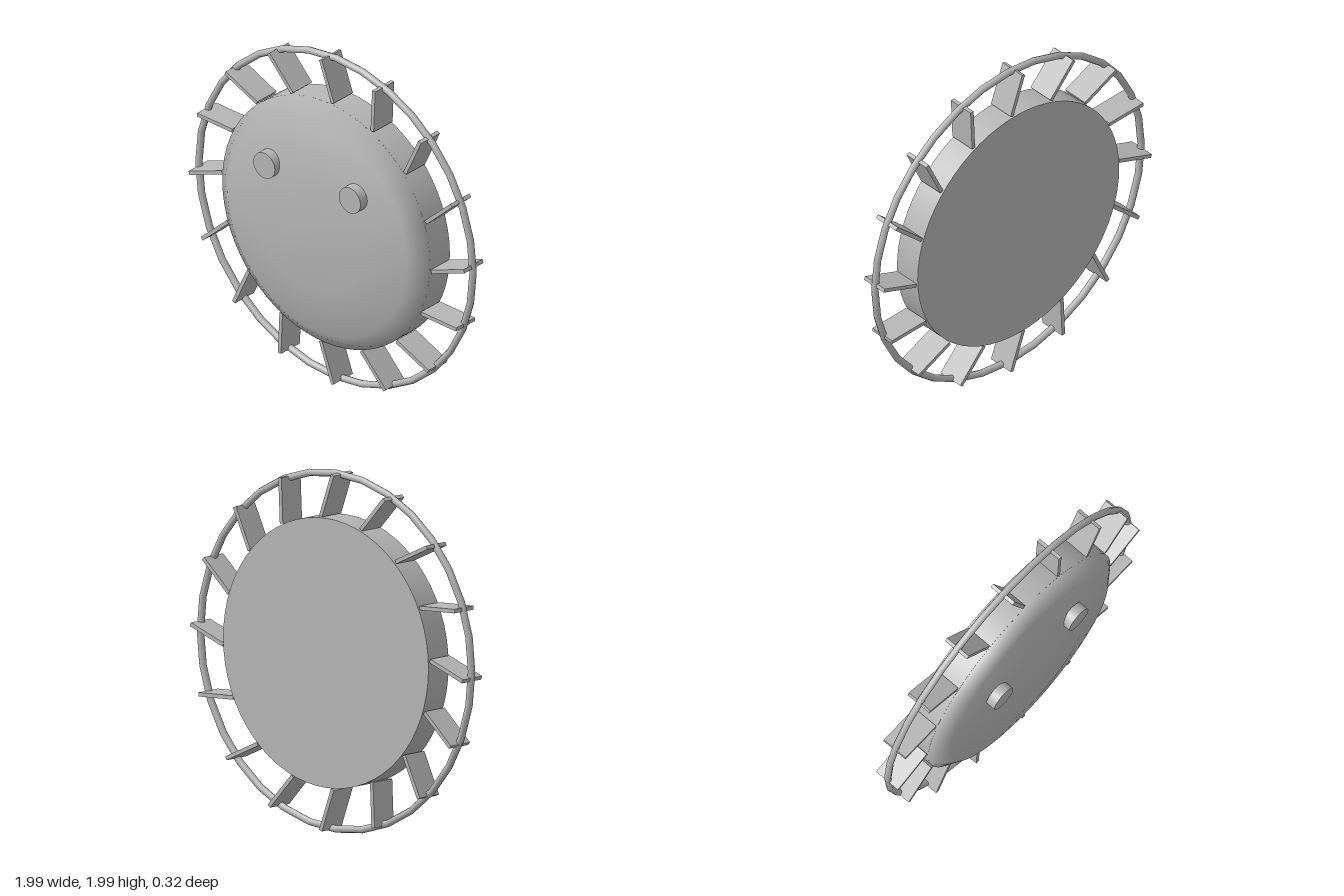
import * as THREE from 'three';

export function createModel() {
  const grey = new THREE.MeshStandardMaterial({ color: 0xb6b6b6 });
  grey.name = 'plain grey';

  const model = new THREE.Group();
  model.name = 'paddleWheel';
  const add = (name, geometry, x, y, z, parent = model) => {
    const mesh = new THREE.Mesh(geometry, grey);
    mesh.name = name;
    mesh.position.set(x, y, z);
    parent.add(mesh);
    return mesh;
  };

  const centreY = 1;
  const midZ = -0.079;

  // Drum: a flat cylinder with its axis along z, open at the front under the dome
  const drum = new THREE.CylinderGeometry(0.74, 0.74, 0.165, 64).rotateX(Math.PI / 2);
  add('drum', drum, 0, centreY, -0.08);

  // Front dome: a flattened hemisphere with few rings
  const dome = new THREE.SphereGeometry(1, 64, 3, 0, Math.PI * 2, 0, Math.PI / 2)
    .rotateX(Math.PI / 2)
    .scale(0.74, 0.74, 0.142);
  add('dome', dome, 0, centreY, 0.003);

  // Two round knobs on the dome
  const knob = new THREE.CylinderGeometry(0.077, 0.077, 0.057, 32).rotateX(Math.PI / 2);
  add('leftKnob', knob, 0.305, 1.307, 0.134);
  add('rightKnob', knob, -0.305, 1.307, 0.134);

  // Thin outer ring
  add('outerRing', new THREE.TorusGeometry(0.977, 0.02, 8, 32), 0, centreY, midZ);

  // Sixteen paddles, each tilted away from the radial direction
  const paddles = new THREE.Group();
  paddles.name = 'paddles';
  paddles.position.set(0, centreY, midZ);
  model.add(paddles);
  const paddle = new THREE.BoxGeometry(0.25, 0.022, 0.157);
  const tilt = THREE.MathUtils.degToRad(20);
  for (let i = 0; i < 16; i++) {
    const a = (i / 16) * Math.PI * 2;
    add('paddle', paddle, 0.863 * Math.cos(a), 0.863 * Math.sin(a), 0, paddles).rotation.z = a + tilt;
  }

  return model;
}
